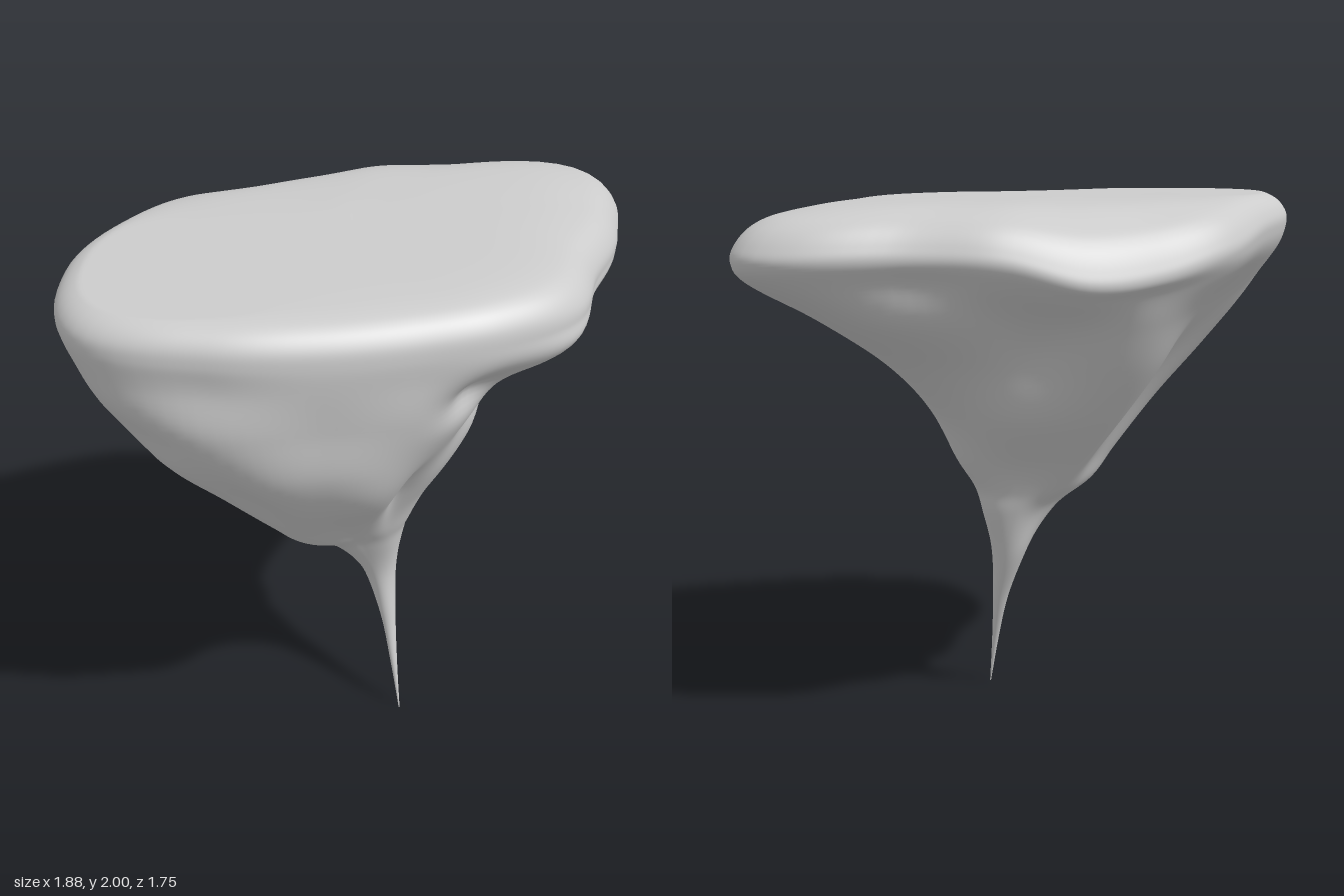
import * as THREE from 'three';

const SIDES = 128, STEPS = 8;

// Plan outline of the rim: radius every 22.5 degrees, from +x round through +z
const RIM = [0.85, 0.85, 0.78, 0.74, 0.79, 0.93, 1.11, 1.01,
  0.855, 0.8, 0.74, 0.74, 0.76, 0.86, 1.19, 1.01];
const rim = (s) => RIM.map((r) => r * s);

// How far the rim sinks (or lifts) every 22.5 degrees
const DROOP = [0.02, 0.01, 0, 0, -0.01, -0.03, -0.045, -0.04,
  -0.02, 0.04, 0.11, 0.13, 0.06, 0.045, 0.05, 0.04];

// Cross-sections from the tip up: height, centre x, centre z, radii round the axis, share of the droop
const SECTIONS = [
  [0, 0.213, 0.24, [0.002], 0],
  [0.2, 0.185, 0.197, [0.013], 0],
  [0.4, 0.153, 0.138, [0.03], 0],
  [0.6, 0.112, 0.093, [0.066], 0],
  [0.78, 0.07, 0.1, [0.13, 0.13, 0.13, 0.17, 0.11, 0.1, 0.13, 0.16], 0],
  [0.88, 0.04, 0.13, [0.19, 0.17, 0.18, 0.3, 0.19, 0.18, 0.19, 0.23], 0],
  [1.0, 0.03, 0.15, [0.25, 0.22, 0.27, 0.4, 0.26, 0.29, 0.28, 0.33], 0],
  [1.2, 0.01, 0.15, [0.38, 0.36, 0.46, 0.58, 0.37, 0.46, 0.46, 0.46], 0],
  [1.4, 0, 0.12, [0.44, 0.5, 0.61, 0.79, 0.5, 0.6, 0.54, 0.66], 0],
  [1.6, 0, 0.06, [0.56, 0.65, 0.7, 0.98, 0.66, 0.67, 0.62, 0.92], 0.25],
  [1.76, 0, 0.025, rim(0.96), 0.7],
  [1.85, 0, 0, rim(1), 1],
  [1.91, 0, 0, rim(0.985), 1],
  [1.96, 0, 0, rim(0.93), 0.8],
  [1.985, 0, 0, rim(0.84), 0.55],
  [1.995, 0, 0, rim(0.65), 0.15],
  [1.997, 0, 0, rim(0.3), 0],
  [1.997, 0, 0, [0], 0],
];

// Hollows (negative) and lobes (positive): angle in degrees, height, depth, angular and vertical spread
const DENTS = [
  [44, 1.64, -0.08, 11, 0.08],
  [-8, 1.6, -0.09, 20, 0.12],
  [24, 1.68, 0.03, 9, 0.1],
  [0, 1.33, 0.035, 16, 0.1],
  [48, 1.15, -0.05, 11, 0.16],
  [72, 1.25, 0.03, 14, 0.16],
  [130, 1.56, -0.03, 9, 0.1],
  [119, 1.3, -0.04, 9, 0.22],
  [262, 1.5, -0.03, 14, 0.16],
];

const cubic = (a, b, c, d, t) => b + 0.5 * t * (c - a + t * (2 * a - 5 * b + 4 * c - d + t * (3 * (b - c) + d - a)));

// Smooth closed interpolation of a ring of values, f from 0 to 1
function around(ring, f) {
  const n = ring.length, p = f * n, i = Math.floor(p);
  const at = (k) => ring[(k + n) % n];
  return cubic(at(i - 1), at(i), at(i + 1), at(i + 2), p - i);
}

function dent(angle, y) {
  let sum = 0;
  for (const [a, h, depth, spread, tall] of DENTS) {
    const da = ((angle - a + 540) % 360 - 180) / spread, dy = (y - h) / tall;
    sum += depth * Math.exp(-da * da - dy * dy);
  }
  return sum;
}

function rockGeometry() {
  const positions = [], indices = [];
  const last = SECTIONS.length - 1, rows = last * STEPS;
  const section = (k) => SECTIONS[Math.min(last, Math.max(0, k))];

  for (let row = 0; row <= rows; row++) {
    const i = Math.min(Math.floor(row / STEPS), last - 1), t = row / STEPS - i;
    const near = [section(i - 1), section(i), section(i + 1), section(i + 2)];
    const blend = (pick) => cubic(...near.map(pick), t);
    const y = blend((s) => s[0]), cx = blend((s) => s[1]), cz = blend((s) => s[2]), share = blend((s) => s[4]);
    for (let j = 0; j < SIDES; j++) {
      const f = j / SIDES, a = f * Math.PI * 2;
      let r = Math.max(0, blend((s) => around(s[3], f)));
      // hollows fade out toward the thin stem and the rim
      r += dent(f * 360, y) * Math.min(1, r / 0.3) * THREE.MathUtils.smoothstep(1.9 - y, 0, 0.12);
      const h = y - share * around(DROOP, f);
      positions.push(cx + r * Math.cos(a), Math.min(2, Math.max(0, h)), cz + r * Math.sin(a));
    }
  }
  for (let row = 0; row < rows; row++) {
    for (let j = 0; j < SIDES; j++) {
      const a = row * SIDES + j, b = row * SIDES + (j + 1) % SIDES;
      const c = a + SIDES, d = b + SIDES;
      indices.push(a, c, b, b, c, d);
    }
  }
  const geometry = new THREE.BufferGeometry();
  geometry.setAttribute('position', new THREE.Float32BufferAttribute(positions, 3));
  geometry.setIndex(indices);
  geometry.computeVertexNormals();
  return geometry;
}

export function createModel() {
  const model = new THREE.Group();
  model.name = 'floatingRock';
  const rock = new THREE.Mesh(rockGeometry(), new THREE.MeshStandardMaterial({ color: 0xcccccc }));
  rock.name = 'rockBody';
  model.add(rock);
  return model;
}
